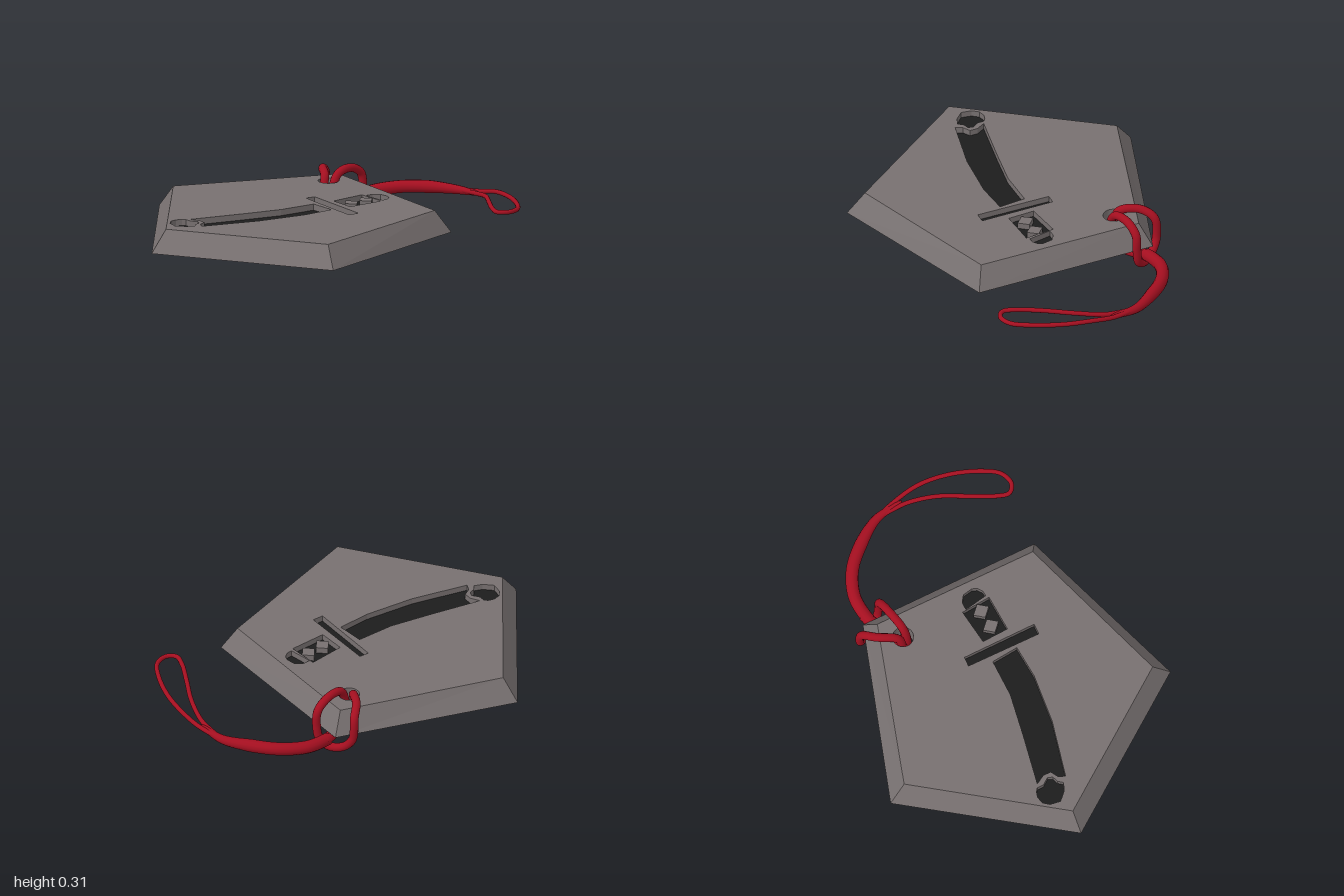
import * as THREE from 'three';
import { mergeGeometries } from 'three/addons/utils/BufferGeometryUtils.js';

const BASE = 0.12, TOP = 0.245, FLOOR = 0.21;

// Outlines are [x, z] pairs, turned into counter-clockwise loops seen from above.
function loop(pairs) {
  const pts = pairs.map(([x, z]) => new THREE.Vector2(x, -z));
  return THREE.ShapeUtils.isClockWise(pts) ? pts.reverse() : pts;
}

// Flat horizontal face at height y, optionally with holes.
function face(outline, y, holes = [], down = false) {
  const shape = new THREE.Shape(outline);
  holes.forEach(h => shape.holes.push(new THREE.Path(h)));
  const g = new THREE.ShapeGeometry(shape);
  if (down) {
    const idx = g.index.array;
    for (let i = 0; i < idx.length; i += 3) [idx[i], idx[i + 1]] = [idx[i + 1], idx[i]];
  }
  g.rotateX(-Math.PI / 2).translate(0, y, 0);
  const flat = g.toNonIndexed();
  flat.deleteAttribute('uv');
  flat.computeVertexNormals();
  return flat;
}

// Wall between two loops, facing outward or inward.
function wall(low, yLow, high, yHigh, inward = false) {
  const v = [];
  low.forEach((p, i) => {
    const j = (i + 1) % low.length;
    const a = [p.x, yLow, -p.y], b = [low[j].x, yLow, -low[j].y];
    const c = [high[j].x, yHigh, -high[j].y], d = [high[i].x, yHigh, -high[i].y];
    if (inward) v.push(...a, ...c, ...b, ...a, ...d, ...c);
    else v.push(...a, ...b, ...c, ...a, ...c, ...d);
  });
  const g = new THREE.BufferGeometry();
  g.setAttribute('position', new THREE.Float32BufferAttribute(v, 3));
  g.computeVertexNormals();
  return g;
}

// Round cord through points; radiusAt(t) gives the thickness along it.
function cord(points, segments, radiusAt, closed = false) {
  const curve = new THREE.CatmullRomCurve3(points.map(p => new THREE.Vector3(...p)), closed);
  const sides = 12;
  const g = new THREE.TubeGeometry(curve, segments, 1, sides, closed);
  const pos = g.attributes.position, p = new THREE.Vector3();
  for (let i = 0; i < pos.count; i++) {
    const t = Math.floor(i / (sides + 1)) / segments;
    const c = curve.getPointAt(t);
    p.fromBufferAttribute(pos, i).sub(c).multiplyScalar(radiusAt(t)).add(c);
    pos.setXYZ(i, p.x, p.y, p.z);
  }
  return g;
}

export function createModel() {
  const group = new THREE.Group();
  const stone = new THREE.MeshStandardMaterial({ color: 0x777070 });
  const ink = new THREE.MeshStandardMaterial({ color: 0x1c1c1c });
  const red = new THREE.MeshStandardMaterial({ color: 0xa50f20 });
  const add = (name, geometry, material) => {
    const m = new THREE.Mesh(geometry, material);
    m.name = name;
    group.add(m);
  };

  // Pentagonal plate outlines and the cord hole
  const bottom = loop([[-0.14, -0.69], [0.72, -0.07], [0.4, 0.945], [-0.67, 0.945], [-1, -0.07]]);
  const top = loop([[-0.14, -0.6], [0.635, -0.035], [0.34, 0.865], [-0.615, 0.865], [-0.905, -0.035]]);
  const hole = loop(Array.from({ length: 28 }, (_, i) => {
    const a = i / 28 * Math.PI * 2;
    return [-0.14 + 0.058 * Math.cos(a), -0.44 + 0.058 * Math.sin(a)];
  }));

  // Sunken sword pieces
  const pockets = {
    pommel: loop([[0.163, -0.206], [0.19, -0.243], [0.233, -0.258], [0.286, -0.233],
      [0.302, -0.206], [0.302, -0.174], [0.286, -0.147]]),
    grip: loop([[0.14, -0.215], [0.286, -0.126], [0.168, 0.05], [0.04, -0.035]]),
    guard: loop([[-0.09, -0.083], [0.26, 0.168], [0.222, 0.217], [-0.125, -0.04]]),
    sheath: loop([[-0.04, 0.067], [0.094, 0.147], [-0.008, 0.307], [-0.2, 0.52], [-0.452, 0.735],
      [-0.473, 0.698], [-0.468, 0.65], [-0.505, 0.623], [-0.564, 0.617], [-0.345, 0.414], [-0.168, 0.243]]),
    sheathTip: loop([[-0.607, 0.634], [-0.585, 0.628], [-0.553, 0.65], [-0.505, 0.65], [-0.489, 0.676],
      [-0.5, 0.709], [-0.49, 0.741], [-0.532, 0.768], [-0.596, 0.778], [-0.639, 0.735],
      [-0.65, 0.693], [-0.634, 0.655]]),
  };
  const cuts = Object.values(pockets);

  add('plate', mergeGeometries([
    face(top, TOP, [hole, ...cuts]),
    face(bottom, BASE, [hole], true),
    wall(bottom, BASE, top, TOP),
    wall(hole, BASE, hole, TOP, true),
    ...cuts.map(c => wall(c, FLOOR, c, TOP, true)),
  ]), stone);

  for (const [name, outline] of Object.entries(pockets)) add(name + 'Inlay', face(outline, FLOOR), ink);

  // Raised diamonds on the grip
  for (const [x, z] of [[0.195, -0.128], [0.142, -0.04]]) {
    const u = [0.52 * 0.045, -0.85 * 0.045], w = [0.85 * 0.05, 0.52 * 0.05];
    const d = loop([[x + u[0], z + u[1]], [x + w[0], z + w[1]], [x - u[0], z - u[1]], [x - w[0], z - w[1]]]);
    add('gripDiamond', mergeGeometries([face(d, TOP), wall(d, FLOOR, d, TOP)]), stone);
  }

  // Hitch through the hole and around the tip of the plate
  add('cordKnot', cord([
    [-0.09, 0.1, -0.72], [-0.12, 0.08, -0.56], [-0.145, 0.085, -0.44], [-0.165, 0.18, -0.43],
    [-0.17, 0.265, -0.46], [-0.22, 0.28, -0.56], [-0.235, 0.24, -0.645], [-0.23, 0.11, -0.66],
    [-0.18, 0.05, -0.66], [-0.1, 0.032, -0.66], [-0.04, 0.065, -0.655], [-0.02, 0.15, -0.655],
    [-0.025, 0.25, -0.645], [-0.06, 0.295, -0.57], [-0.1, 0.275, -0.47], [-0.115, 0.18, -0.43],
    [-0.11, 0.09, -0.44], [-0.09, 0.075, -0.56], [-0.08, 0.1, -0.72],
  ], 220, () => 0.024), red);

  // Thick cord, tapering to where it splits
  add('thickCord', cord([
    [-0.1, 0.085, -0.64], [-0.08, 0.095, -0.7], [-0.01, 0.11, -0.81], [0.12, 0.125, -0.89],
    [0.28, 0.132, -0.917], [0.44, 0.132, -0.91], [0.53, 0.137, -0.87], [0.6, 0.145, -0.83],
  ], 80, t => (0.036 - 0.022 * Math.max(0, t - 0.6) / 0.4) * Math.min(1, Math.sqrt(t * 20), Math.sqrt((1 - t) * 20))), red);

  // Thin loop at the free end
  add('thinLoop', cord([
    [0.47, 0.135, -0.9], [0.6, 0.15, -0.855], [0.72, 0.175, -0.785], [0.84, 0.185, -0.67],
    [0.94, 0.19, -0.52], [0.98, 0.19, -0.41], [0.955, 0.19, -0.335], [0.9, 0.19, -0.318],
    [0.85, 0.19, -0.375], [0.78, 0.187, -0.51], [0.7, 0.175, -0.67], [0.6, 0.15, -0.8],
  ], 140, () => 0.013, true), red);

  return group;
}
